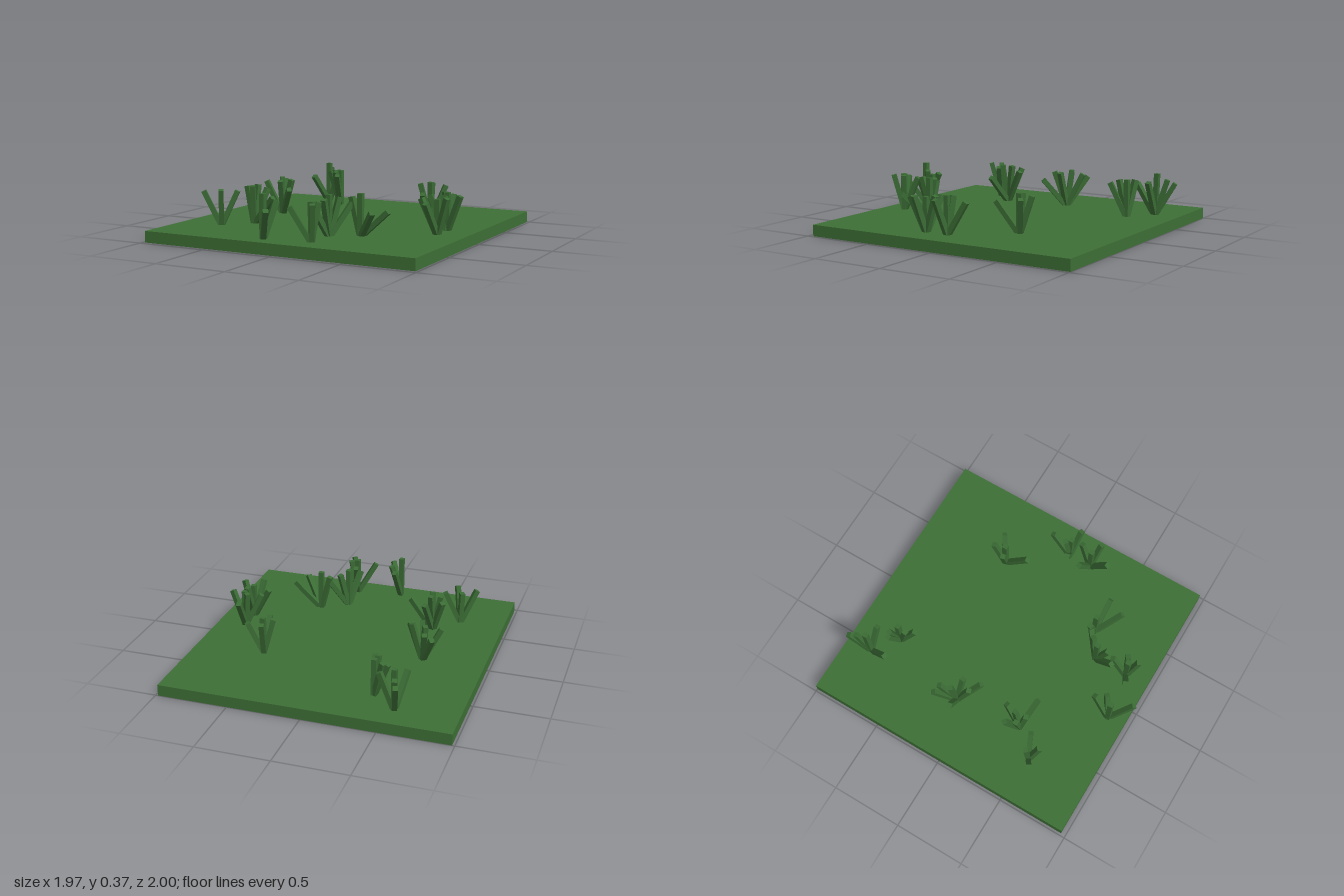
import * as THREE from 'three';

const GROUND_TOP = 0.078;
const BLADE = 0.034;

export function createModel() {
  const model = new THREE.Group();
  const soil = new THREE.MeshStandardMaterial({ color: 0x3d6f35 });
  soil.name = 'turf green';
  const leaf = new THREE.MeshStandardMaterial({ color: 0x3b6c35 });
  leaf.name = 'blade green';

  // Flat square of turf
  const ground = new THREE.Mesh(new THREE.BoxGeometry(1.966, GROUND_TOP, 1.966), soil);
  ground.name = 'ground';
  ground.position.set(0, GROUND_TOP / 2, -0.016);
  model.add(ground);

  // A tuft of square blades fanning from one spot; each tip is an [x, z] offset
  function addTuft(x, z, top, tips) {
    const tuft = new THREE.Group();
    tuft.name = 'grassTuft';
    tuft.position.set(x, GROUND_TOP - 0.01, z);
    for (const [dx, dz] of tips) {
      const reach = Math.hypot(dx, dz);
      const length = reach < 0.05 ? top - GROUND_TOP + 0.01 : 0.27;
      const geometry = new THREE.BoxGeometry(BLADE, length, BLADE);
      geometry.translate(0, length / 2, 0);
      const blade = new THREE.Mesh(geometry, leaf);
      blade.name = 'grassBlade';
      blade.rotation.set(Math.asin(reach / length), Math.atan2(dx, dz), 0, 'YXZ');
      tuft.add(blade);
    }
    model.add(tuft);
  }

  // Back
  addTuft(-0.565, -0.815, 0.367, [[-0.04, -0.13], [-0.02, -0.08], [0.105, 0.01], [-0.04, 0.16], [0, -0.01]]);
  addTuft(-0.39, -0.68, 0.335, [[-0.095, -0.02], [-0.065, -0.03], [0.03, 0.115], [-0.01, 0.065], [0, 0]]);
  addTuft(0.495, -0.355, 0.34, [[-0.02, -0.08], [0.09, -0.06], [-0.07, 0.02], [0.015, 0.17], [0, 0]]);
  // Middle
  addTuft(-0.56, -0.11, 0.34, [[-0.09, -0.125], [-0.035, -0.11], [-0.12, 0.025], [0.08, 0.01],
    [0.125, 0.125], [0.03, 0.085], [-0.02, -0.03]]);
  addTuft(0.78, 0.015, 0.335, [[-0.01, -0.14], [-0.115, 0.03], [0.1, 0.025], [0, 0], [-0.03, -0.03]]);
  addTuft(0.78, 0.18, 0.31, [[0.015, -0.085], [-0.13, -0.03], [0.08, 0.035], [-0.025, 0.14], [0, 0]]);
  // Front
  addTuft(-0.51, 0.36, 0.345, [[0.035, -0.12], [-0.08, -0.07], [0.175, 0.04], [0.015, 0.04],
    [-0.05, 0], [0.01, -0.04]]);
  addTuft(-0.67, 0.525, 0.31, [[-0.1, 0.06], [0.105, -0.045], [0.04, 0.06], [-0.01, -0.015]]);
  addTuft(0.36, 0.455, 0.355, [[0.2, 0.005], [0.145, 0.13], [-0.07, -0.01], [0, 0]]);
  addTuft(0.185, 0.56, 0.35, [[0.11, -0.11], [-0.05, 0.14], [0.005, 0.08], [0.045, -0.055], [0, 0]]);
  addTuft(0.19, 0.8, 0.335, [[-0.13, 0.05], [0.04, 0.06], [0.04, -0.025], [-0.02, -0.11], [0, 0]]);
  addTuft(-0.14, 0.845, 0.37, [[0.02, -0.13], [0.1, 0.13], [0.06, -0.06], [0, 0]]);

  return model;
}
